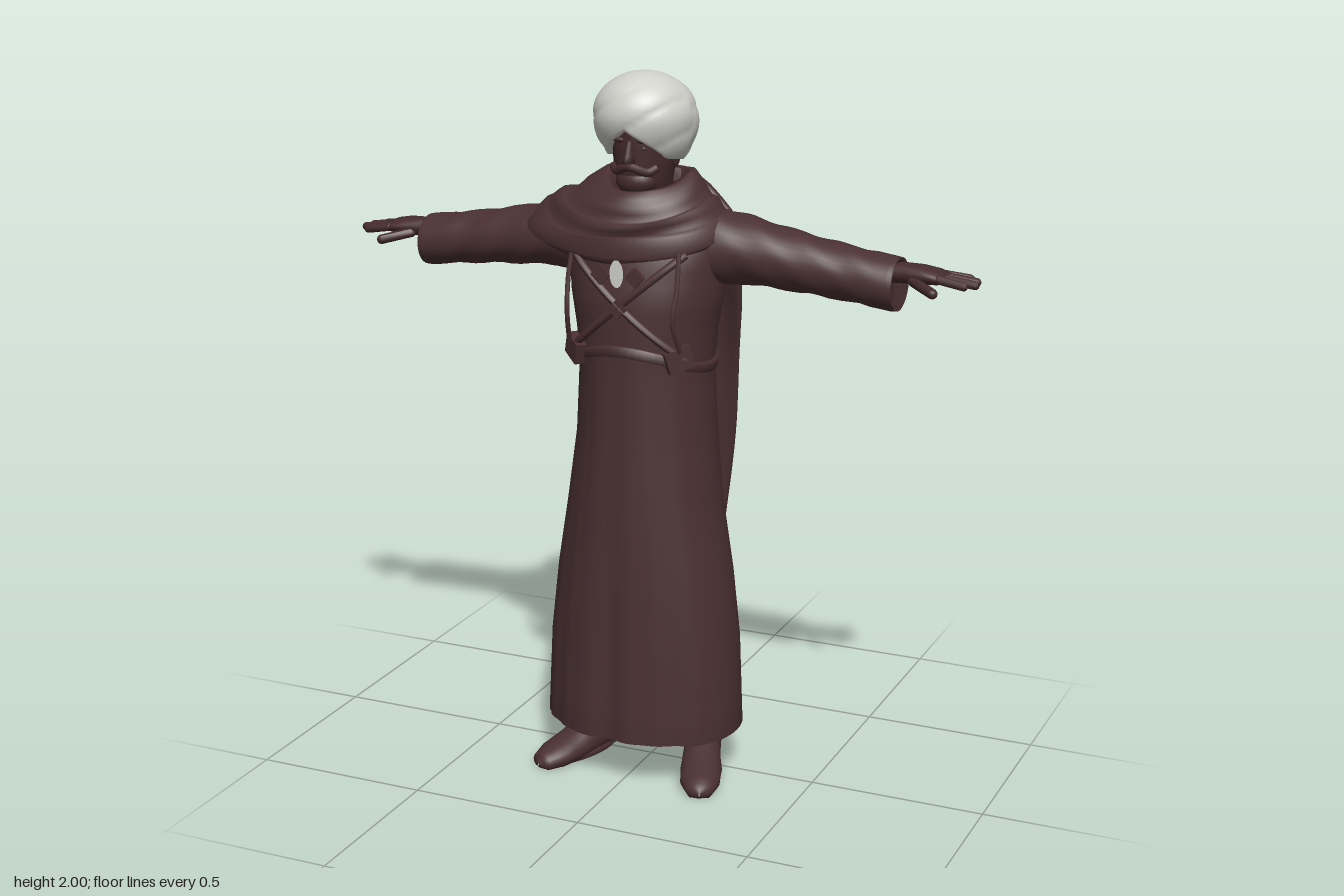
import * as THREE from 'three';
import { mergeVertices, mergeGeometries } from 'three/addons/utils/BufferGeometryUtils.js';

const V = (x, y, z) => new THREE.Vector3(x, y, z);
const { sin, cos, abs, max, min, sqrt, PI } = Math;

// Skin a stack of ellipses [y, rx, rz, cx, cz]; warp may move each point
function loft(rings, n = 32, warp) {
  const pos = [], index = [];
  rings.forEach(([y, rx, rz, cx = 0, cz = 0], i) => {
    for (let j = 0; j < n; j++) {
      const a = (j / n) * PI * 2;
      const v = V(cx + rx * cos(a), y, cz + rz * sin(a));
      if (warp) warp(v, a, i);
      pos.push(v.x, v.y, v.z);
      if (i < rings.length - 1) {
        const p = i * n + j, q = i * n + (j + 1) % n;
        index.push(p, p + n, q, q, p + n, q + n);
      }
    }
  });
  const g = new THREE.BufferGeometry();
  g.setAttribute('position', new THREE.Float32BufferAttribute(pos, 3));
  g.setIndex(index);
  g.computeVertexNormals();
  return g;
}

// Insert in-between rings
function refine(rings, steps) {
  const out = [];
  for (let i = 0; i < rings.length - 1; i++)
    for (let s = 0; s < steps; s++)
      out.push(rings[i].map((a, k) => a + (rings[i + 1][k] - a) * (s / steps)));
  out.push(rings[rings.length - 1]);
  return out;
}

// Copy of a geometry reflected across x = 0
function mirror(g) {
  const m = g.clone().scale(-1, 1, 1), ix = m.index.array;
  for (let i = 0; i < ix.length; i += 3) [ix[i], ix[i + 1]] = [ix[i + 1], ix[i]];
  m.computeVertexNormals();
  return m;
}

const tube = (pts, r) => new THREE.TubeGeometry(new THREE.CatmullRomCurve3(pts), 40, r, 8);

// Rounded finger between two points
function finger(a, b, r) {
  const d = b.clone().sub(a);
  const g = new THREE.CapsuleGeometry(r, d.length() - r, 4, 10);
  g.applyQuaternion(new THREE.Quaternion().setFromUnitVectors(V(0, 1, 0), d.clone().normalize()));
  return g.translate((a.x + b.x) / 2, (a.y + b.y) / 2, (a.z + b.z) / 2);
}

const ball = (x, y, z, rx, ry, rz) =>
  mergeVertices(new THREE.SphereGeometry(1, 20, 14).scale(rx, ry, rz).translate(x, y, z));

export function createModel() {
  const model = new THREE.Group();
  const material = (name, color) => {
    const m = new THREE.MeshStandardMaterial({ color });
    m.name = name;
    return m;
  };
  const cloth = material('brown cloth', 0x4a3032);
  const skin = material('dark skin', 0x452b2c);
  const linen = material('off-white linen', 0xcfd0ca);
  const add = (name, geo, mat) => {
    const m = new THREE.Mesh(geo, mat);
    m.name = name;
    model.add(m);
  };
  const pair = (name, geo, mat) => {
    add('left ' + name, geo, mat);
    add('right ' + name, mirror(geo), mat);
  };

  // Long robe with pleats that deepen, and corners that fill out, towards the hem
  const robe = [
    [0.17, 0.001, 0.001, 0, 0.04], [0.165, 0.26, 0.195, 0, 0.04], [0.14, 0.284, 0.212, 0, 0.04],
    [0.4, 0.274, 0.207, 0, 0.038], [0.6, 0.252, 0.202, 0, 0.038], [0.8, 0.22, 0.196, 0, 0.038],
    [1.0, 0.197, 0.188, 0.004, 0.036], [1.2, 0.188, 0.183, 0.003, 0.034], [1.3, 0.197, 0.184, 0.003, 0.032],
    [1.4, 0.215, 0.184, 0.003, 0.03], [1.52, 0.225, 0.168, 0, 0.02], [1.61, 0.19, 0.135, 0, 0.01],
    [1.67, 0.1, 0.09, 0, 0], [1.69, 0.001, 0.001, 0, 0]];
  add('robe', loft(refine(robe, 3), 96, (v, a) => {
    const low = max(0, 1 - v.y / 1.25);
    let k = 1 + low * (0.03 * cos(a * 9 + 0.6) + 0.018 * cos(a * 17)) * sin(a) ** 2;
    k += 0.05 * low * sin(2 * a) ** 2;
    if (v.y < 1.22 && a > 2.05 && a < 2.7) k -= 0.02; // lapped front edge
    v.x *= k;
    v.z = 0.037 + (v.z - 0.037) * k;
  }), cloth);

  // Sleeves with shallow cuff openings
  const sleeve = [
    [0.1, 0.12, 0.11, -1.51, -0.01], [0.2, 0.105, 0.105, -1.525, -0.015], [0.28, 0.092, 0.1, -1.523, -0.02],
    [0.4, 0.082, 0.088, -1.507, -0.02], [0.55, 0.074, 0.082, -1.486, -0.025], [0.69, 0.074, 0.081, -1.467, -0.028],
    [0.705, 0.072, 0.079, -1.466, -0.028], [0.703, 0.066, 0.072, -1.466, -0.028], [0.69, 0.02, 0.02, -1.49, -0.028]];
  pair('sleeve', loft(refine(sleeve, 5), 32, (v, a) => {
    if (v.y < 0.66) v.x += 0.003 * sin(v.y * 48 + a * 3);
  }).rotateZ(-PI / 2), cloth);

  // Hands
  const palm = loft([
    [0.64, 0.026, 0.03, -1.495, -0.025], [0.72, 0.028, 0.032, -1.5, -0.025], [0.77, 0.026, 0.044, -1.5, -0.026],
    [0.81, 0.021, 0.047, -1.497, -0.028], [0.835, 0.014, 0.043, -1.494, -0.03], [0.84, 0.001, 0.001, -1.49, -0.03]],
  20).rotateZ(-PI / 2);
  pair('palm', palm, skin);
  const fingers = [[0.006, 0.008, 0.895], [-0.018, -0.02, 0.918], [-0.041, -0.056, 0.912], [-0.062, -0.09, 0.885]]
    .map(([z0, z1, x]) => finger(V(0.815, 1.497, z0), V(x, 1.484, z1), 0.012));
  fingers.push(finger(V(0.745, 1.487, 0), V(0.825, 1.468, 0.058), 0.014));
  pair('fingers', mergeGeometries(fingers), skin);

  // Shoes and ankles; the soles are flattened to the ground
  const shoe = loft(refine([
    [-0.115, 0.002, 0.002, 0, -0.03], [-0.11, 0.036, 0.045, 0, -0.04], [-0.04, 0.05, 0.068, 0, -0.06],
    [0.03, 0.053, 0.062, 0, -0.052], [0.1, 0.058, 0.046, 0, -0.035], [0.17, 0.056, 0.036, 0, -0.025],
    [0.22, 0.036, 0.026, 0, -0.018], [0.235, 0.002, 0.004, 0, -0.015]], 2), 24,
  (v) => { v.z = min(v.z, 0); }).rotateX(PI / 2).rotateY(0.36).translate(0.168, 0, 0.017);
  pair('shoe', shoe, cloth);
  pair('sole', loft([[0, 0.05, 0.13, 0, 0.07], [0.012, 0.056, 0.15, 0, 0.065], [0.02, 0.05, 0.14, 0, 0.065]], 24)
    .rotateY(0.36).translate(0.168, 0, 0.01), cloth);
  pair('ankle', loft([[0.04, 0.05, 0.07], [0.1, 0.052, 0.072], [0.3, 0.06, 0.075]], 20)
    .rotateY(0.3).translate(0.158, 0, -0.018), cloth);

  // Head, face and beard
  add('head', loft(refine([
    [1.56, 0.08, 0.08, 0, 0], [1.66, 0.074, 0.075, 0, 0.015], [1.685, 0.07, 0.088, 0, 0.034],
    [1.71, 0.073, 0.096, 0, 0.042], [1.76, 0.082, 0.1, 0, 0.042], [1.81, 0.084, 0.1, 0, 0.045],
    [1.86, 0.08, 0.1, 0, 0.045], [1.92, 0.06, 0.08, 0, 0.04]], 3), 32), skin);
  add('nose', loft([
    [1.764, 0.001, 0.001, 0, 0.15], [1.767, 0.018, 0.021, 0, 0.151], [1.785, 0.013, 0.019, 0, 0.149],
    [1.825, 0.008, 0.01, 0, 0.143]], 14), skin);
  pair('brow', ball(0.032, 1.826, 0.13, 0.026, 0.009, 0.014), skin);
  pair('eye', ball(0.031, 1.805, 0.128, 0.013, 0.007, 0.009), skin);
  pair('ear', ball(0.085, 1.775, 0.03, 0.01, 0.032, 0.02), skin);
  add('moustache', tube([V(-0.062, 1.75, 0.108), V(-0.046, 1.741, 0.128), V(0, 1.756, 0.148),
    V(0.046, 1.741, 0.128), V(0.062, 1.75, 0.108)], 0.012), skin);
  add('beard', ball(0, 1.712, 0.098, 0.058, 0.042, 0.046), skin);

  // Turban: a dome rising from a rim that peaks over the brow, with slanted wraps
  const levels = Array.from({ length: 32 }, (_, i) => [i, 1, 1]);
  add('turban', loft(levels, 80, (v, a, i) => {
    const f = sin(a);
    const peak = max(0, 1 - abs(a - PI / 2) / 0.9);
    const rim = 1.762 + 0.018 * f + 0.075 * peak;
    const low = -Math.asin((1.875 - rim) / 0.16);
    const lat = low + (PI / 2 - low) * max(0, i - 1) / 30;
    const r = cos(lat) * (i === 0 ? 0.72 : 1);
    const y = 1.875 + sin(lat) * (lat < 0 ? 0.16 : 0.123);
    const slant = y - cos(a) * r * (f > 0 ? 0.09 : 0.05);
    const k = 0.962 + 0.043 * sqrt(abs(sin((slant - 1.875) * 32 + 0.6)));
    const tilt = lat > 0 ? -0.01 * sin(lat) : 0.14 * (1.875 - y);
    v.set(-0.005 + 0.142 * r * k * cos(a), y, 0.026 + 0.149 * r * k * f - tilt);
  }), linen);

  // Shawl wound round the neck, dipping at the chest and tucked under the drape behind
  const shawl = [
    [1.56, 0.2, 0.15, -0.04, 0, 0.05], [1.57, 0.29, 0.19, -0.055, 0, 0.07], [1.59, 0.305, 0.203, -0.055, 0, 0.075],
    [1.625, 0.27, 0.196, -0.047, 0.005, 0.06], [1.632, 0.25, 0.184, -0.042, 0.005, 0.06],
    [1.662, 0.222, 0.188, -0.032, 0.012, 0.055], [1.666, 0.198, 0.17, -0.025, 0.012, 0.05],
    [1.7, 0.165, 0.162, -0.015, 0.015, 0.05], [1.73, 0.125, 0.13, 0, 0.012, 0.045],
    [1.728, 0.103, 0.106, 0, 0.01, 0.045], [1.65, 0.08, 0.08, 0, 0.01, 0.03]];
  const fine = refine(shawl, 2);
  add('shawl', loft(fine, 64, (v, a, i) => {
    const f = sin(a), dip = fine[i][5];
    v.y -= f > 0 ? dip * f : 0.01 * -f;
    v.y += 0.004 * sin(a * 3 + i * 0.6);
    const k = 1 + 0.012 * sin(a * 4 + i * 0.9);
    v.x *= k;
    v.z *= k * (f < 0 ? 1 + 0.16 * f : 1);
  }), cloth);

  // Shawl end hanging down the back to a narrow tip
  const cape = [
    [0.515, 0.002, 0.002, 0.045, -0.215], [0.525, 0.055, 0.026, 0.045, -0.215], [0.57, 0.088, 0.036, 0.04, -0.217],
    [0.8, 0.133, 0.04, 0.032, -0.208], [1.0, 0.172, 0.042, 0.024, -0.2], [1.2, 0.2, 0.044, 0.013, -0.188],
    [1.35, 0.226, 0.046, 0.007, -0.175], [1.45, 0.258, 0.048, -0.02, -0.16], [1.55, 0.285, 0.05, -0.035, -0.14],
    [1.62, 0.25, 0.055, -0.033, -0.118], [1.68, 0.17, 0.05, -0.025, -0.098],
    [1.72, 0.09, 0.03, -0.01, -0.088], [1.728, 0.002, 0.002, 0, -0.085]];
  add('back drape', loft(refine(cape, 4), 64, (v) => {
    const body = min(1, max(0, (v.y - 0.5) / 0.5));
    v.z += body * 1.6 * (v.x - 0.01) ** 2;
    v.z += 0.007 * sin(v.x * 42 + v.y * 3) * min(1, max(0, (1.7 - v.y) * 4));
  }), cloth);

  // Harness: belt that sags at the hips, crossed straps, hanging cords and pouches
  const chest = (x, y, lift = 0.004) => V(x, y, 0.032 + 0.184 * sqrt(1 - (x / 0.23) ** 2) + lift);
  add('belt', loft([[-0.016, 0.18, 0.175, 0.003, 0.034], [-0.014, 0.197, 0.19, 0.003, 0.034],
    [0.014, 0.198, 0.191, 0.003, 0.034], [0.016, 0.18, 0.175, 0.003, 0.034]], 64, (v, a) => {
    v.y += 1.205 + (sin(a) > 0 ? 0.06 : 0.025) * sin(a) ** 2;
  }), cloth);
  const strap = tube([0.17, 0.12, 0.06, 0, -0.06, -0.12, -0.17].map((x) => chest(x, 1.39 + x * 0.85, 0.002)), 0.011);
  add('strap down to the right', strap, cloth);
  add('strap down to the left', mirror(strap), cloth);
  pair('cord', tube([chest(0.155, 1.54), chest(0.16, 1.45, 0.03), chest(0.155, 1.36, 0.045), chest(0.165, 1.27, 0.02)], 0.007), cloth);
  pair('pouch', new THREE.BoxGeometry(0.075, 0.06, 0.03).rotateZ(0.3).rotateY(0.75).translate(0.153, 1.248, 0.165), cloth);
  for (const [x, y] of [[0, 1.385], [0.05, 1.475], [-0.05, 1.475]])
    add('harness plate', new THREE.BoxGeometry(0.04, 0.04, 0.012).rotateZ(PI / 4).translate(x, y, 0.222), cloth);

  // Shirt showing at the open chest
  const patch = new THREE.CircleGeometry(1, 20).scale(0.02, 0.038, 1).translate(-0.004, 1.48, 0.222);
  add('shirt patch', patch, linen);
  return model;
}
